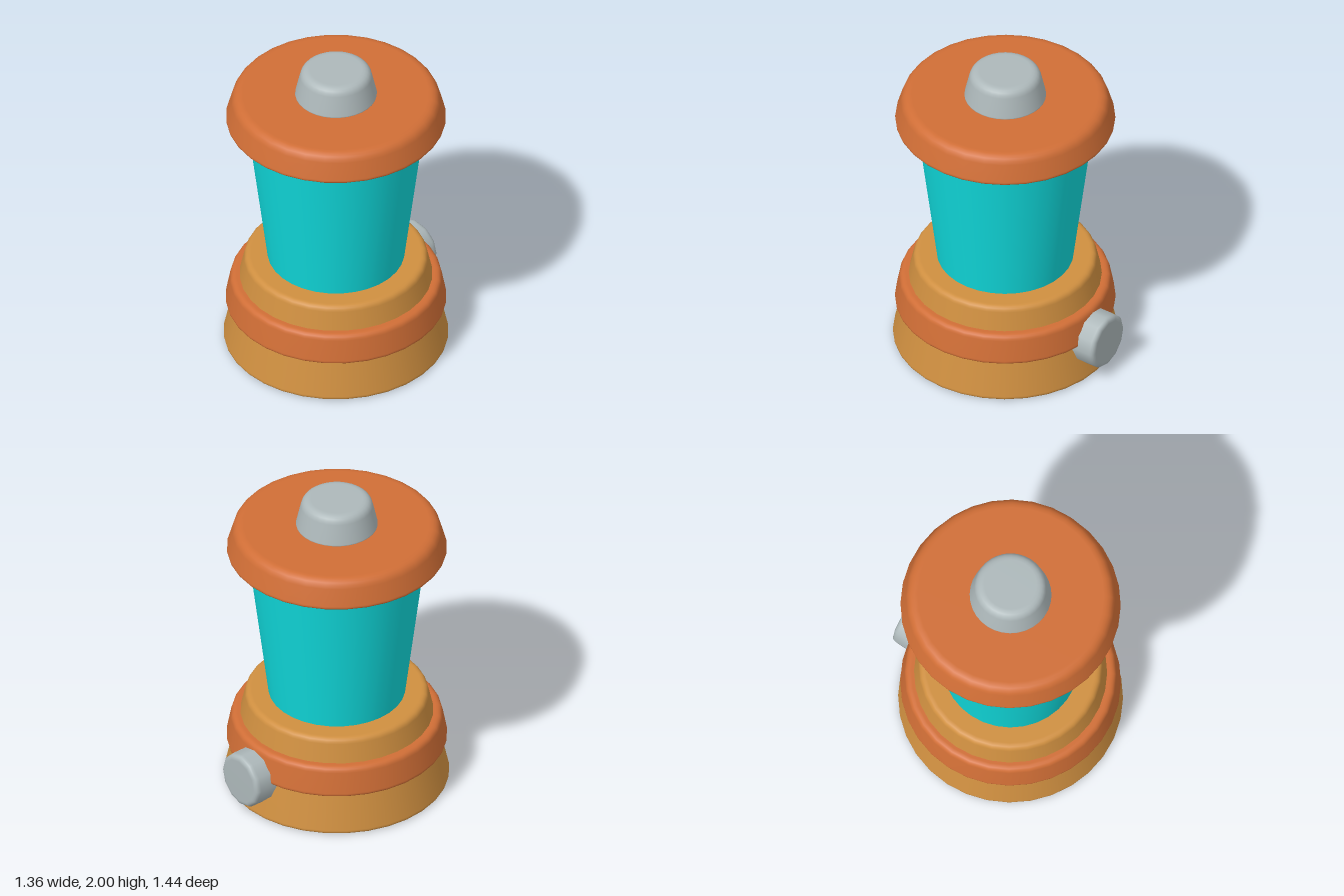
import * as THREE from 'three';

const paint = (name, color) => {
  const m = new THREE.MeshStandardMaterial({ color });
  m.name = name;
  return m;
};

// Turned solid: corners are [radius, height, rounding], from bottom axis to top axis
function turned(corners, segments) {
  const pts = corners.map(([r, y]) => new THREE.Vector2(r, y));
  const profile = [];
  corners.forEach(([, , round], i) => {
    const p = pts[i];
    if (!round) return profile.push(p);
    const toward = (q) => p.clone().add(q.clone().sub(p).setLength(round));
    const arc = new THREE.QuadraticBezierCurve(toward(pts[i - 1]), p, toward(pts[i + 1]));
    profile.push(...arc.getPoints(5));
  });
  return new THREE.LatheGeometry(profile, segments);
}

// Closed tapered disc with rounded rims
const disc = (r0, y0, b0, r1, y1, b1, segments = 32) =>
  turned([[0, y0, 0], [r0, y0, b0], [r1, y1, b1], [0, y1, 0]], segments);

export function createModel() {
  const tan = paint('tan', 0xcf8f40);
  const orange = paint('orange', 0xd06e36);
  const teal = paint('teal', 0x10dadc);
  const grey = paint('grey', 0xadb8ba);

  const model = new THREE.Group();
  model.name = 'blender';
  const add = (name, geometry, material, z = 0.037) => {
    const mesh = new THREE.Mesh(geometry, material);
    mesh.name = name;
    mesh.position.z = z;
    model.add(mesh);
    return mesh;
  };

  // Base and the band around it
  add('base', disc(0.685, 0.003, 0.025, 0.55, 0.612, 0.035), tan);
  add('baseBand', disc(0.672, 0.265, 0.025, 0.636, 0.457, 0.035), orange);

  // Tapered jar, open-ended since both rims are buried
  add('jar', new THREE.CylinderGeometry(0.543, 0.412, 1.06, 32, 1, true).translate(0, 1.12, 0), teal);

  // Lid and its grip
  add('lid', disc(0.672, 1.633, 0.025, 0.618, 1.817, 0.055), orange);
  add('lidGrip', disc(0.25, 1.812, 0.012, 0.208, 2, 0.05), grey);

  // Dial on the back of the base
  const dial = add('dial', disc(0.174, 0, 0.01, 0.174, 0.24, 0.035, 12), grey, -0.482);
  dial.position.y = 0.253;
  dial.rotation.x = -Math.PI / 2;

  return model;
}
